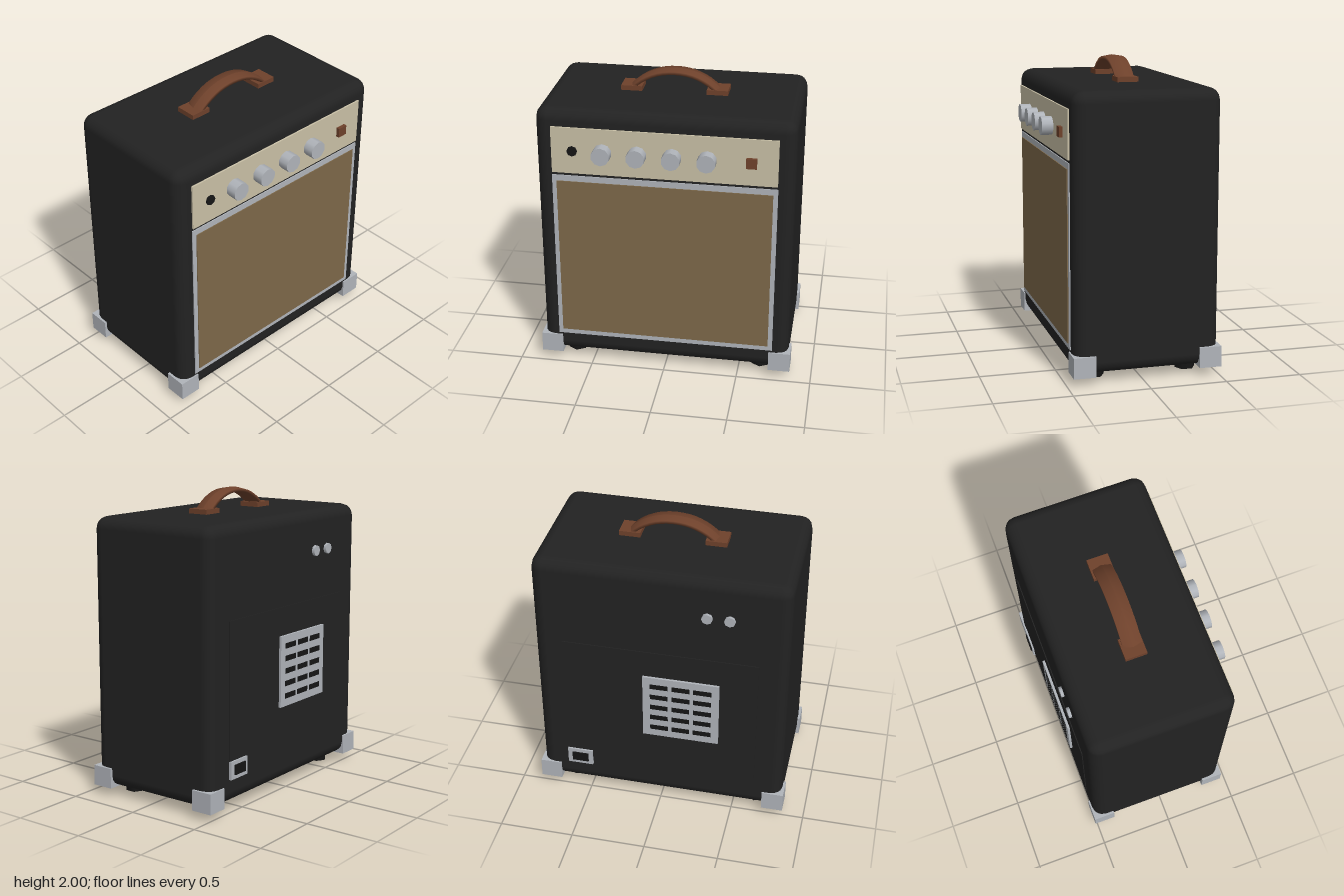
import * as THREE from 'three';
import { RoundedBoxGeometry } from 'three/addons/geometries/RoundedBoxGeometry.js';

const material = (name, color) => {
  const m = new THREE.MeshStandardMaterial({ color });
  m.name = name;
  return m;
};

export function createModel() {
  const model = new THREE.Group();
  model.name = 'amplifier';

  const covering = material('black covering', 0x222222);
  const rubber = material('dark rubber', 0x151515);
  const metal = material('light metal', 0xb0b4ba);
  const cream = material('cream panel', 0xc9c0a6);
  const cloth = material('grille cloth', 0x7d6849);
  const leather = material('brown leather', 0x6e412b);

  const add = (name, geometry, mat, x = 0, y = 0, z = 0) => {
    const mesh = new THREE.Mesh(geometry, mat);
    mesh.name = name;
    mesh.position.set(x, y, z);
    model.add(mesh);
    return mesh;
  };
  // Box given by its extents on each axis
  const box = (name, mat, x0, x1, y0, y1, z0, z1) =>
    add(name, new THREE.BoxGeometry(x1 - x0, y1 - y0, z1 - z0), mat,
      (x0 + x1) / 2, (y0 + y1) / 2, (z0 + z1) / 2);
  // Cylinder lying along z
  const disc = (name, mat, x, y, z0, z1, radius, sides) =>
    add(name, new THREE.CylinderGeometry(radius, radius, z1 - z0, sides).rotateX(Math.PI / 2),
      mat, x, y, (z0 + z1) / 2);

  // Cabinet
  add('cabinet', new RoundedBoxGeometry(1.68, 1.79, 0.957, 2, 0.08), covering, 0, 0.955, -0.027);

  // Corner guards and feet
  for (const side of [-1, 1]) {
    for (const z of [0.388, -0.443]) {
      add('cornerGuard', new THREE.BoxGeometry(0.146, 0.136, 0.146), metal, side * 0.783, 0.12, z);
    }
    for (const z of [0.282, -0.336]) {
      add('foot', new THREE.CylinderGeometry(0.067, 0.067, 0.08, 6), rubber, side * 0.645, 0.04, z);
    }
  }

  // Speaker grille with metal trim
  box('grilleTrim', metal, -0.733, 0.733, 0.205, 1.4, 0.44, 0.458);
  box('grilleCloth', cloth, -0.703, 0.703, 0.24, 1.36, 0.45, 0.464);

  // Control panel
  box('controlPanel', cream, -0.73, 0.73, 1.42, 1.735, 0.44, 0.463);
  for (let i = 0; i < 4; i++) {
    disc('knob', metal, -0.395 + i * 0.225, 1.577, 0.46, 0.536, 0.061, 10);
  }
  disc('inputJack', rubber, -0.592, 1.577, 0.46, 0.475, 0.034, 8);
  box('powerSwitch', leather, 0.527, 0.595, 1.543, 1.61, 0.46, 0.486);

  // Carrying handle: arched strap between two mounts
  for (const side of [-1, 1]) {
    add('handleMount', new THREE.BoxGeometry(0.14, 0.04, 0.142), leather, side * 0.283, 1.862, -0.03);
  }
  const arch = new THREE.CatmullRomCurve3([
    [-0.28, 1.865], [-0.22, 1.915], [-0.12, 1.963], [0, 1.98],
    [0.12, 1.963], [0.22, 1.915], [0.28, 1.865],
  ].map(([x, y]) => new THREE.Vector3(x, y, 0)));
  const strap = new THREE.TubeGeometry(arch, 16, 0.02, 6, false);
  // Turn the section so that a ridge runs along the top, then widen it
  const pos = strap.attributes.position;
  for (let i = 0; i <= 16; i++) {
    const c = arch.getPointAt(i / 16);
    const t = arch.getTangentAt(i / 16);
    for (let j = 0; j <= 6; j++) {
      const a = (j / 6) * Math.PI * 2;
      const up = 0.02 * Math.cos(a);
      pos.setXYZ(i * 7 + j, c.x - t.y * up, c.y + t.x * up, 0.072 * Math.sin(a));
    }
  }
  strap.computeVertexNormals();
  const strapMesh = add('handleStrap', strap, leather, 0, 0, -0.027);
  // Keep the outside of the strap facing outwards
  const n = strap.attributes.normal;
  if (n.getY(8 * 7 + 1) < 0) {
    const index = strap.index;
    for (let i = 0; i < index.count; i += 3) {
      const a = index.getX(i);
      index.setX(i, index.getX(i + 1));
      index.setX(i + 1, a);
    }
    strap.computeVertexNormals();
  }
  strapMesh.updateMatrix();

  // Rear panel
  box('rearPanel', covering, -0.65, 0.65, 0.25, 1.25, -0.512, -0.49);

  // Rear vent with three columns of slots
  box('ventPlate', metal, -0.4, 0.11, 0.58, 1.06, -0.528, -0.5);
  for (let col = -1; col <= 1; col++) {
    for (let row = -2; row <= 2; row++) {
      add('ventSlot', new THREE.BoxGeometry(0.12, 0.036, 0.004), rubber,
        -0.145 + col * 0.145, 0.82 + row * 0.085, -0.528);
    }
  }

  // Rear jacks and power inlet
  for (const x of [-0.455, -0.31]) {
    disc('rearJack', metal, x, 1.577, -0.525, -0.49, 0.036, 8);
  }
  box('inletFrame', metal, 0.475, 0.65, 0.225, 0.345, -0.524, -0.49);
  box('inletSocket', rubber, 0.505, 0.617, 0.253, 0.319, -0.533, -0.51);

  return model;
}
